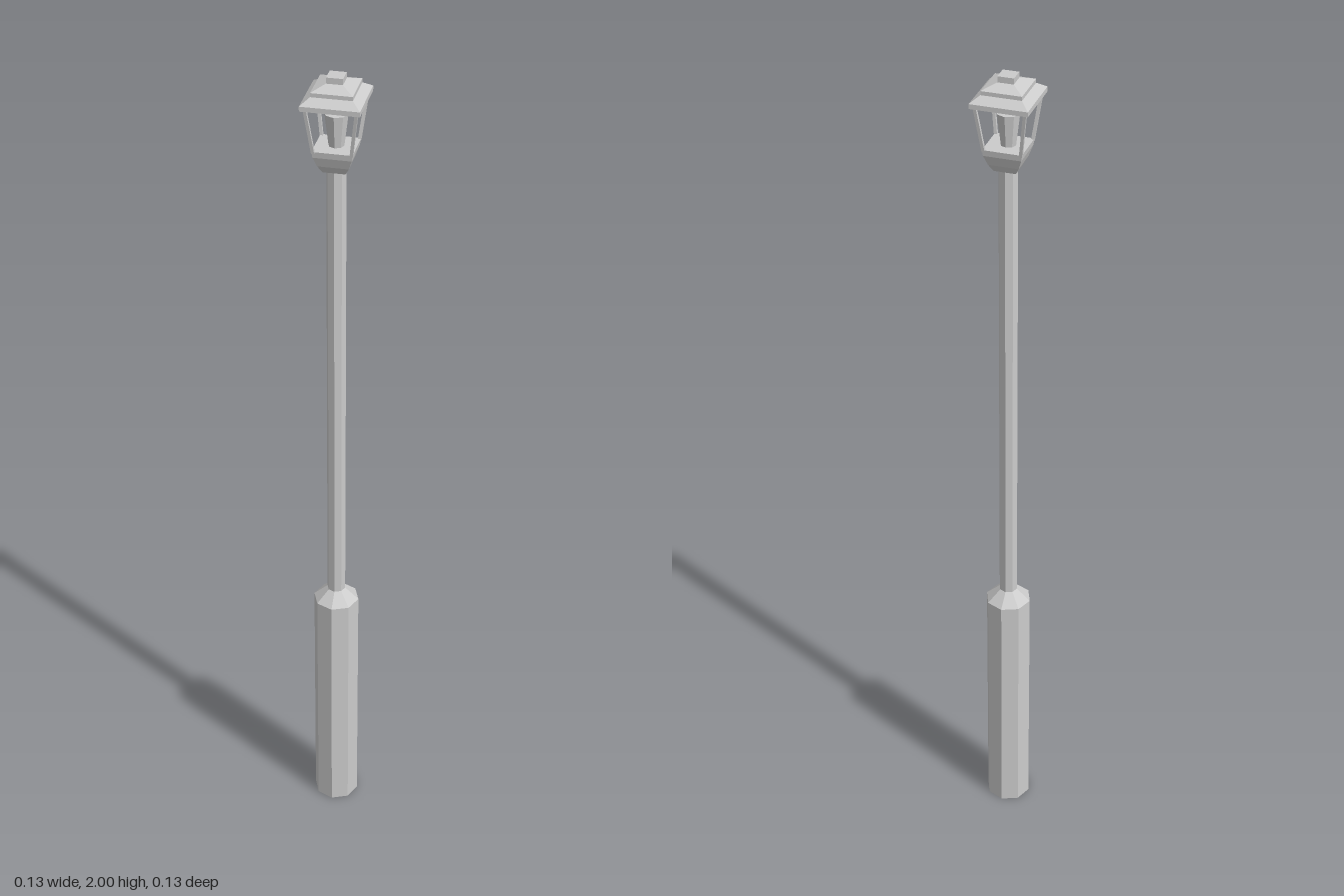
import * as THREE from 'three';

const material = new THREE.MeshStandardMaterial({ color: 0xcccccc, flatShading: true });
const shellMaterial = new THREE.MeshStandardMaterial({ color: 0xcccccc, flatShading: true, side: THREE.DoubleSide });

export function createModel() {
  const group = new THREE.Group();

  const add = (name, geometry, mat = material) => {
    const mesh = new THREE.Mesh(geometry, mat);
    mesh.name = name;
    group.add(mesh);
    return mesh;
  };

  // Surface of revolution with few sides; profile is [radius, y] from bottom to top
  const turned = (profile, sides) =>
    new THREE.LatheGeometry(profile.map(([r, y]) => new THREE.Vector2(r, y)), sides);

  // Square-section part; profile is [half width, y]
  const square = (profile, depthScale = 1) =>
    turned(profile.map(([h, y]) => [h * Math.SQRT2, y]), 4).rotateY(Math.PI / 4).scale(1, 1, depthScale);

  // Octagonal base with sloped shoulder, and slender post
  add('base', turned([[0, 0], [0.055, 0], [0.055, 0.63], [0.022, 0.66]], 8));
  add('post', turned([[0.022, 0.65], [0.022, 1.8]], 8));

  // Square cup that carries the lantern
  add('lanternCup', square([[0, 1.788], [0.025, 1.788], [0.034, 1.805], [0.042, 1.828], [0.044, 1.842], [0, 1.842]]));

  // Tapered lamp inside the lantern
  add('lamp', turned([[0.017, 1.84], [0.026, 1.915], [0, 1.915]], 8));

  // Four leaning corner bars
  const up = new THREE.Vector3(0, 1, 0);
  for (const sx of [-1, 1]) {
    for (const sz of [-1, 1]) {
      const foot = new THREE.Vector3(sx * 0.041, 1.838, sz * 0.041);
      const head = new THREE.Vector3(sx * 0.055, 1.946, sz * 0.057);
      const direction = head.clone().sub(foot);
      const bar = add('cornerBar', new THREE.BoxGeometry(0.007, direction.length(), 0.007));
      bar.position.copy(foot).add(head).multiplyScalar(0.5);
      bar.quaternion.setFromUnitVectors(up, direction.normalize());
    }
  }

  // Hollow stepped roof, open underneath
  add('roof', square([
    [0.056, 1.942], [0.064, 1.942], [0.064, 1.953], [0.045, 1.967],
    [0.045, 1.976], [0.018, 1.987],
  ], 1.05), shellMaterial);
  add('finial', square([[0, 1.984], [0.018, 1.984], [0.018, 2], [0, 2]]));

  return group;
}
